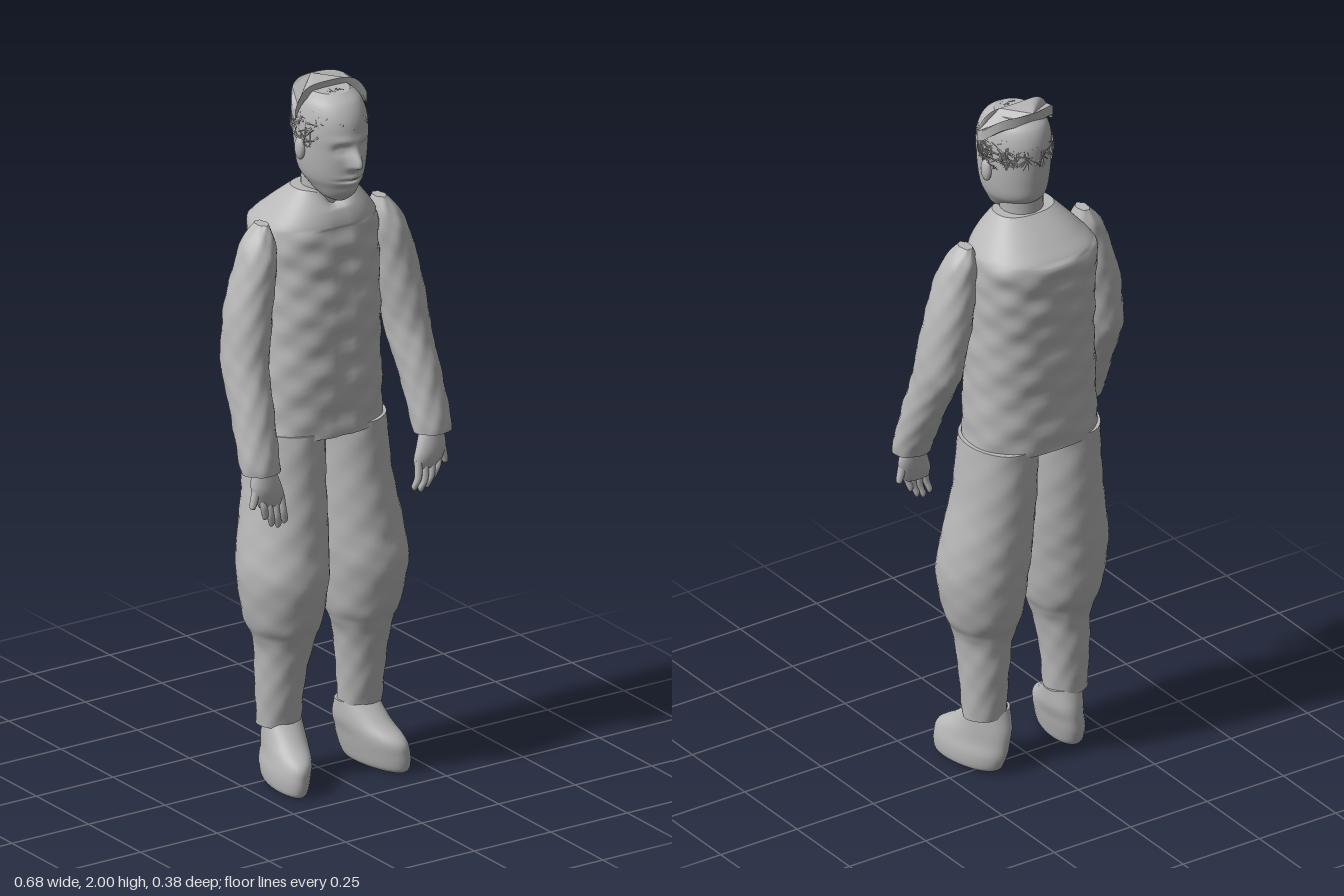
import * as THREE from 'three';
import { mergeGeometries } from 'three/addons/utils/BufferGeometryUtils.js';

const grey = new THREE.MeshStandardMaterial({ color: 0xb8b8b8 });
grey.name = 'grey';

// Smooth closed body through rows [y, cx, cz, rx, rz], listed from low to high.
function loft(rows, { side = 1, seg = 32, steps = 6, power = 2, tweak } = {}) {
  const n = (rows.length - 1) * steps, pos = [], idx = [];
  const at = (k, c) => rows[Math.min(rows.length - 1, Math.max(0, k))][c];
  const sample = (t, c) => {
    const k = Math.min(rows.length - 2, Math.floor(t)), u = t - k;
    const p0 = at(k - 1, c), p1 = at(k, c), p2 = at(k + 1, c), p3 = at(k + 2, c);
    const m1 = (p2 - p0) / 2, m2 = (p3 - p1) / 2;
    return p1 + u * m1 + u * u * (3 * (p2 - p1) - 2 * m1 - m2) + u * u * u * (2 * (p1 - p2) + m1 + m2);
  };
  const bend = v => Math.sign(v) * Math.pow(Math.abs(v), 2 / power);
  const ring = i => {
    const [y, cx, cz, rx, rz] = [0, 1, 2, 3, 4].map(c => sample(i / steps, c));
    for (let j = 0; j < seg; j++) {
      const a = (j / seg) * Math.PI * 2;
      const p = new THREE.Vector3(side * cx + rx * bend(Math.cos(a)), y, cz + rz * bend(Math.sin(a)));
      if (tweak) tweak(p, a);
      pos.push(p.x, p.y, p.z);
    }
  };
  for (let i = 0; i <= n; i++) ring(i);
  for (let i = 0; i < n; i++) for (let j = 0; j < seg; j++) {
    const k = (j + 1) % seg, a = i * seg + j, b = i * seg + k;
    idx.push(a, a + seg, b, b, a + seg, b + seg);
  }
  // flat caps with their own vertices
  for (const [i, top] of [[0, false], [n, true]]) {
    const start = pos.length / 3;
    ring(i);
    const c = pos.length / 3;
    pos.push(side * sample(i / steps, 1), sample(i / steps, 0), sample(i / steps, 2));
    for (let j = 0; j < seg; j++) {
      const a = start + j, b = start + (j + 1) % seg;
      if (top) idx.push(c, b, a); else idx.push(c, a, b);
    }
  }
  const g = new THREE.BufferGeometry();
  g.setAttribute('position', new THREE.Float32BufferAttribute(pos, 3));
  g.setIndex(idx);
  g.computeVertexNormals();
  return g;
}

// Soft cloth wrinkles
const wrinkle = amount => (p, a) => {
  const w = amount * (Math.sin(p.y * 47 + 3 * a) * Math.sin(4 * a + p.y * 13) + 0.6 * Math.sin(p.y * 83 - 5 * a));
  p.x += w * 0.5 * Math.cos(a);
  p.z += w * Math.sin(a);
};

const bump = (v, s) => Math.exp(-(v * v) / (2 * s * s));

// Nose, brows, eye sockets, lips and chin pressed into the front of the head
function sculptFace(p, a) {
  if (Math.sin(a) <= 0) return;
  const x = p.x - 0.015, y = p.y, ax = Math.abs(x);
  const nose = bump(x, 0.012) * bump(y - 1.797, y > 1.797 ? 0.028 : 0.01);
  const socket = bump(ax - 0.035, 0.014) * bump(y - 1.84, 0.011);
  const eye = bump(ax - 0.035, 0.008) * bump(y - 1.838, 0.006);
  const brow = bump(ax - 0.03, 0.022) * bump(y - 1.866, 0.009);
  const lips = bump(x, 0.022) * (bump(y - 1.757, 0.006) + bump(y - 1.739, 0.006));
  const mouth = bump(x, 0.024) * bump(y - 1.748, 0.003);
  const chin = bump(x, 0.02) * bump(y - 1.708, 0.012);
  p.z += 0.036 * nose - 0.014 * socket + 0.006 * eye + 0.005 * brow + 0.006 * lips - 0.006 * mouth + 0.008 * chin;
}

export function createModel() {
  const model = new THREE.Group();
  model.name = 'standingMan';
  const add = (name, geometry, parent = model) => {
    const m = new THREE.Mesh(geometry, grey);
    m.name = name;
    parent.add(m);
    return m;
  };

  // Jacket body
  const cloth = wrinkle(0.004);
  add('jacket', loft([
    [1.005, -0.003, -0.012, 0.192, 0.14], [1.2, 0, -0.015, 0.183, 0.143], [1.4, 0.005, -0.023, 0.177, 0.148],
    [1.52, 0.005, -0.033, 0.178, 0.148], [1.59, 0.007, -0.037, 0.176, 0.148], [1.64, 0.009, -0.02, 0.142, 0.118],
    [1.7, 0.01, 0, 0.088, 0.062],
  ], {
    seg: 64, steps: 12, power: 2.4, tweak: (p, a) => {
      if (p.y < 1.6) cloth(p, a);
      if (p.z > 0) {
        p.z -= 0.006 * bump(p.x, 0.006);                                  // front closing
        if (p.y > 1.65) p.y -= 0.045 * bump(p.x - 0.01, 0.025) * (p.y - 1.65) / 0.05; // collar notch
      }
    },
  }));

  // Head and neck
  const head = new THREE.Group();
  head.name = 'head';
  model.add(head);
  add('neck', loft([[1.6, 0.01, 0, 0.062, 0.055], [1.7, 0.012, 0.005, 0.06, 0.06], [1.78, 0.015, 0.015, 0.065, 0.07]]), head);
  add('face', loft([
    [1.675, 0.015, 0.075, 0.02, 0.025], [1.69, 0.015, 0.067, 0.045, 0.05], [1.72, 0.015, 0.05, 0.065, 0.085],
    [1.75, 0.015, 0.04, 0.08, 0.108], [1.8, 0.015, 0.038, 0.089, 0.116], [1.87, 0.015, 0.037, 0.094, 0.12],
    [1.92, 0.015, 0.034, 0.092, 0.116], [1.96, 0.015, 0.03, 0.08, 0.097], [1.983, 0.015, 0.028, 0.055, 0.065],
  ], { seg: 96, steps: 14, tweak: sculptFace }), head);
  for (const s of [1, -1]) {
    const ear = add(s > 0 ? 'leftEar' : 'rightEar', new THREE.SphereGeometry(1, 14, 10), head);
    ear.scale.set(0.012, 0.033, 0.02);
    ear.position.set(0.015 + s * 0.095, 1.825, 0.03);
  }

  // Tousled hair: thin strands lying across the skull
  let seed = 7;
  const rand = () => (seed = (seed * 16807) % 2147483647) / 2147483647;
  const strands = [], up = new THREE.Vector3(0, 1, 0);
  while (strands.length < 380) {
    const a = rand() * Math.PI * 2, v = rand();
    const front = Math.sin(a);
    const low = front > 0.4 ? 0.3 : front > -0.3 ? -0.35 : -0.1;
    const h = low + (0.93 - low) * v, r = Math.sqrt(1 - h * h);
    const normal = new THREE.Vector3(r * Math.cos(a), h, r * front);
    const dir = new THREE.Vector3(rand() - 0.5, rand() - 0.5, rand() - 0.5).cross(normal).normalize();
    dir.addScaledVector(normal, 0.15).normalize();
    const g = new THREE.ConeGeometry(0.0035, 0.035 + 0.025 * rand(), 3);
    g.applyQuaternion(new THREE.Quaternion().setFromUnitVectors(up, dir));
    g.translate(0.015 + 0.098 * normal.x, 1.875 + 0.113 * normal.y, 0.034 + 0.119 * normal.z);
    g.computeBoundingBox();
    if (g.boundingBox.max.y < 1.998) strands.push(g);
  }
  add('hair', mergeGeometries(strands), head);

  // Crescent band across the crown, bent down at both ends
  const crescent = new THREE.Shape();
  crescent.moveTo(-0.117, -0.045);
  crescent.absellipse(0, -0.045, 0.117, 0.09, Math.PI, 0, true);
  crescent.quadraticCurveTo(0, -0.015, -0.117, -0.045);
  const band = new THREE.ExtrudeGeometry(crescent, { depth: 0.03, bevelEnabled: false, curveSegments: 32 });
  band.rotateX(-Math.PI / 2).translate(0, 1.97, 0);
  const bp = band.attributes.position;
  for (let i = 0; i < bp.count; i++) bp.setY(i, bp.getY(i) - 0.055 * Math.pow(Math.abs(bp.getX(i)) / 0.117, 5));
  band.translate(0.013, 0, 0).computeVertexNormals();
  add('crownBand', band, head);

  for (const side of [1, -1]) {
    const word = side > 0 ? 'left' : 'right';

    // Sleeve
    add(word + 'Sleeve', loft([
      [0.965, 0.28, 0.137, 0.056, 0.048], [1.0, 0.28, 0.128, 0.058, 0.052], [1.1, 0.275, 0.092, 0.058, 0.063],
      [1.2, 0.268, 0.052, 0.06, 0.073], [1.27, 0.262, 0.033, 0.062, 0.077], [1.4, 0.242, 0.022, 0.065, 0.073],
      [1.52, 0.218, 0.02, 0.054, 0.064], [1.58, 0.205, 0.015, 0.043, 0.05], [1.625, 0.192, 0.012, 0.016, 0.026],
    ], { side, steps: 8, tweak: wrinkle(0.0025) }));

    // Hand with four fingers and a thumb
    const hand = new THREE.Group();
    hand.name = word + 'Hand';
    model.add(hand);
    add('palm', loft([
      [0.865, 0.255, 0.148, 0.038, 0.014], [0.89, 0.26, 0.148, 0.046, 0.022], [0.925, 0.27, 0.146, 0.046, 0.026],
      [0.98, 0.275, 0.138, 0.032, 0.026],
    ], { side, seg: 20 }), hand);
    for (let i = 0; i < 4; i++) {
      const x = 0.225 + 0.021 * i, tip = [0.805, 0.797, 0.805, 0.828][i];
      add('finger', loft([
        [tip, x - 0.012, 0.15, 0.004, 0.004], [tip + 0.012, x - 0.012, 0.152, 0.009, 0.01],
        [tip + 0.04, x - 0.004, 0.157, 0.01, 0.011], [0.89, x, 0.15, 0.011, 0.012],
      ], { side, seg: 10, steps: 4 }), hand);
    }
    add('thumb', loft([
      [0.865, 0.313, 0.148, 0.004, 0.005], [0.875, 0.313, 0.148, 0.009, 0.011], [0.93, 0.298, 0.148, 0.014, 0.014],
    ], { side, seg: 10 }), hand);

    // Baggy trouser leg gathered below the knee, with a narrow lower leg
    add(word + 'TrouserLeg', loft([
      [0.165, 0.132, 0.004, 0.063, 0.056], [0.28, 0.132, 0.01, 0.068, 0.07], [0.38, 0.128, 0.018, 0.077, 0.084],
      [0.43, 0.126, 0.02, 0.09, 0.096], [0.48, 0.128, 0.02, 0.108, 0.115], [0.6, 0.13, 0.02, 0.123, 0.135],
      [0.7, 0.122, 0.01, 0.121, 0.133], [0.85, 0.108, -0.005, 0.108, 0.13], [1.02, 0.1, -0.014, 0.1, 0.13],
    ], { side, seg: 40, steps: 8, tweak: wrinkle(0.0018) }));

    // Rounded shoe, toe turned slightly outward
    add(word + 'Shoe', loft([
      [0, 0.148, 0.07, 0.035, 0.095], [0.012, 0.148, 0.06, 0.05, 0.115], [0.05, 0.145, 0.054, 0.057, 0.125],
      [0.09, 0.138, 0.048, 0.058, 0.121], [0.13, 0.132, 0.022, 0.06, 0.09], [0.18, 0.13, 0.004, 0.058, 0.052],
    ], { side, tweak: p => { p.x += side * 0.17 * (p.z - 0.05); } }));
  }
  return model;
}
